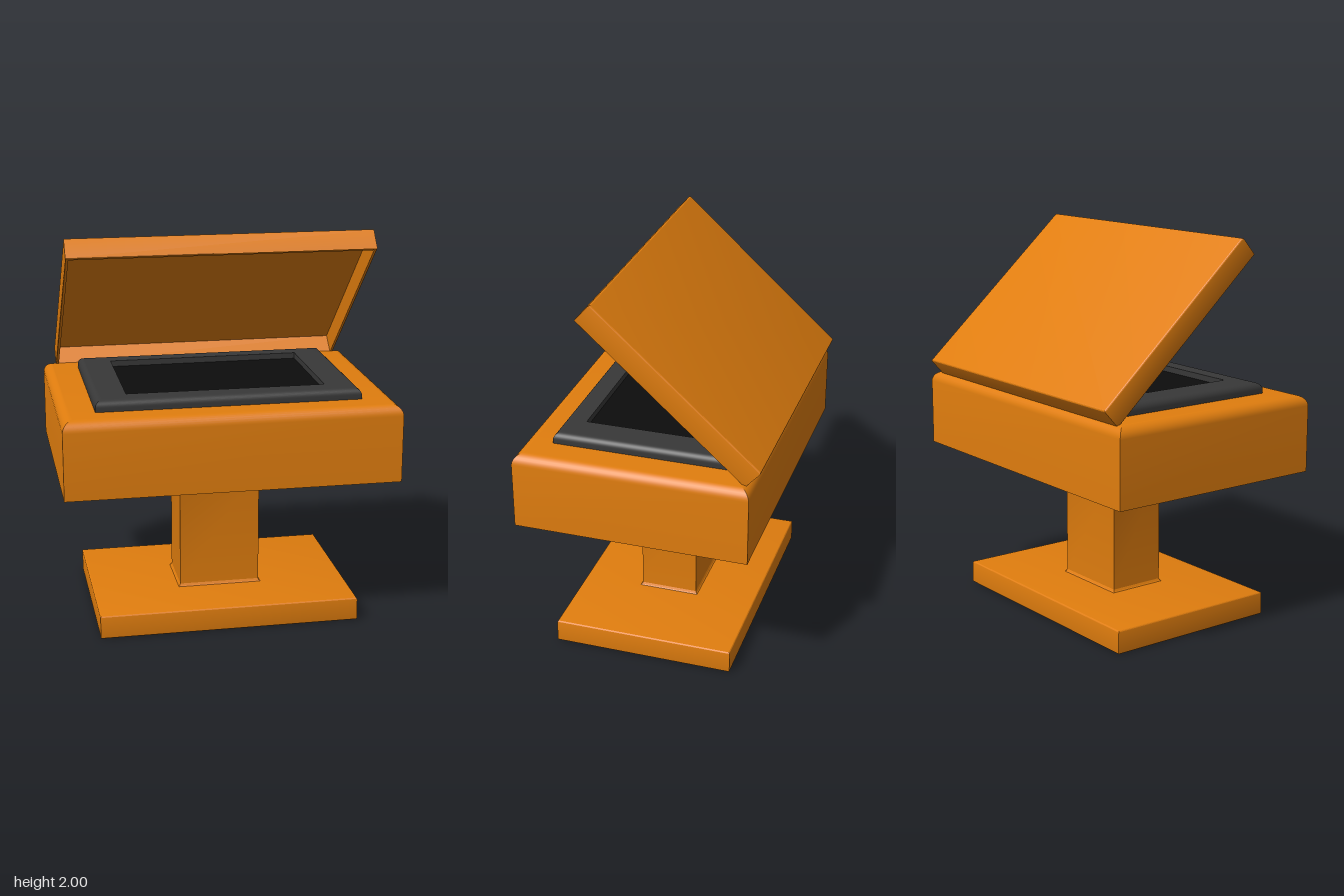
import * as THREE from 'three';
import { toCreasedNormals } from 'three/addons/utils/BufferGeometryUtils.js';

// Closed solid through a stack of rectangular sections [halfWidth, halfDepth, y]
function sectionSolid(sections) {
  const pos = [];
  const idx = [];
  for (const [w, d, y] of sections) pos.push(w, y, d, w, y, -d, -w, y, -d, -w, y, d);
  const quad = (a, b, c, d) => idx.push(a, b, c, a, c, d);
  for (let s = 0; s < sections.length - 1; s++) {
    for (let i = 0; i < 4; i++) {
      const j = (i + 1) % 4;
      quad(s * 4 + i, s * 4 + j, s * 4 + 4 + j, s * 4 + 4 + i);
    }
  }
  const t = (sections.length - 1) * 4;
  quad(3, 2, 1, 0);
  quad(t, t + 1, t + 2, t + 3);
  const geo = new THREE.BufferGeometry();
  geo.setAttribute('position', new THREE.Float32BufferAttribute(pos, 3));
  geo.setIndex(idx);
  return toCreasedNormals(geo, 0.35);
}

// Quarter-round sections finishing a top edge (rounded) at height y
function topRound(w, d, y, r, steps = 8) {
  const out = [];
  for (let i = 0; i <= steps; i++) {
    const a = (i / steps) * Math.PI / 2;
    const inset = r * (1 - Math.cos(a));
    out.push([w - inset, d - inset, y - r + r * Math.sin(a)]);
  }
  return out;
}

// Quarter-round sections starting from a bottom edge at height y
function bottomRound(w, d, y, r, steps = 4) {
  return topRound(w, d, 0, r, steps).reverse().map(([a, b, h]) => [a, b, y - h]);
}

export function createModel() {
  const model = new THREE.Group();
  model.name = 'lecternKiosk';
  const orange = new THREE.MeshStandardMaterial({ color: 0xe07d0e });
  const charcoal = new THREE.MeshStandardMaterial({ color: 0x383838 });
  const black = new THREE.MeshStandardMaterial({ color: 0x0d0d0d });

  const add = (name, geometry, material, y = 0, z = 0.02) => {
    const mesh = new THREE.Mesh(geometry, material);
    mesh.name = name;
    mesh.position.set(0, y, z);
    model.add(mesh);
    return mesh;
  };

  // Foot plate
  add('base', sectionSolid([
    ...bottomRound(0.67, 0.47, 0, 0.008),
    ...topRound(0.67, 0.47, 0.122, 0.01, 4),
  ]), orange);

  // Column, flared where it meets the base and the case
  add('column', sectionSolid([
    [0.222, 0.162, 0.12], [0.215, 0.155, 0.126], [0.21, 0.15, 0.136],
    [0.21, 0.15, 0.768], [0.214, 0.154, 0.782], [0.222, 0.162, 0.79], [0.236, 0.174, 0.796],
  ]), orange);

  // Case with rounded top edges
  add('case', sectionSolid([
    [0.845, 0.597, 0.793],
    ...topRound(0.845, 0.597, 1.19, 0.055),
  ]), orange);

  // Screen surround with a recessed opening
  add('bezel', sectionSolid([
    [0.67, 0.445, 1.18],
    ...topRound(0.67, 0.445, 1.245, 0.035),
    [0.505, 0.33, 1.245],
    [0.505, 0.33, 1.21],
  ]), charcoal);
  add('screen', new THREE.BoxGeometry(1.01, 0.66, 0.01).rotateX(-Math.PI / 2), black, 1.209);

  // Hollow lid, open underneath and tilted up from the back edge
  const lid = add('lid', sectionSolid([
    [0.76, 0.537, 0.042],
    [0.765, 0.542, -0.059],
    ...bottomRound(0.78, 0.556, -0.059, 0.005, 3),
    ...topRound(0.78, 0.556, 0.059, 0.01, 4),
  ]), orange, 1.59, -0.164);
  lid.rotation.x = -0.73;

  return model;
}
